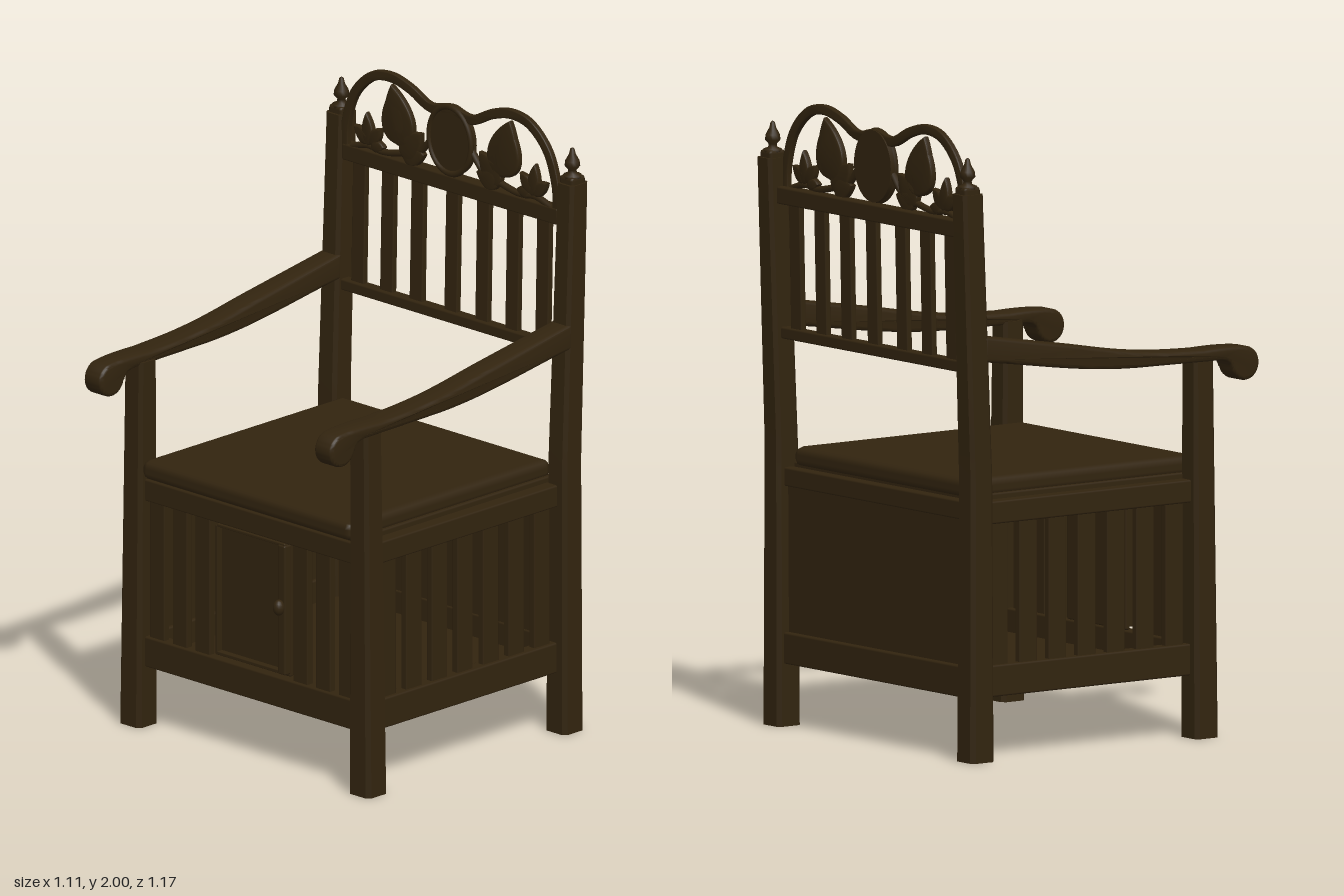
import * as THREE from 'three';
import { toCreasedNormals } from 'three/addons/utils/BufferGeometryUtils.js';
import { RoundedBoxGeometry } from 'three/addons/geometries/RoundedBoxGeometry.js';

const wood = new THREE.MeshStandardMaterial({ color: 0x32240f });
wood.name = 'darkWood';

export function createModel() {
  const chair = new THREE.Group();
  chair.name = 'armchair';

  const add = (name, geo, x = 0, y = 0, z = 0) => {
    const m = new THREE.Mesh(geo, wood);
    m.name = name;
    m.position.set(x, y, z);
    chair.add(m);
    return m;
  };
  // box given by its limits on each axis
  const box = (name, x0, x1, y0, y1, z0, z1, r = 0.006) =>
    add(name, new RoundedBoxGeometry(x1 - x0, y1 - y0, z1 - z0, 1, r),
      (x0 + x1) / 2, (y0 + y1) / 2, (z0 + z1) / 2);

  // chamfered post whose rings are placed by a rule y -> [cx, cz, width, depth]
  const post = (height, rule) => {
    const a = 0.5, c = 0.36;
    const s = new THREE.Shape([[a, -c], [a, c], [c, a], [-c, a], [-a, c], [-a, -c], [-c, -a], [c, -a]]
      .map(p => new THREE.Vector2(...p)));
    const g = new THREE.ExtrudeGeometry(s, { depth: height, steps: 24, bevelEnabled: false });
    g.rotateX(-Math.PI / 2);
    const p = g.attributes.position;
    for (let i = 0; i < p.count; i++) {
      const [cx, cz, w, d] = rule(p.getY(i));
      p.setXYZ(i, cx + p.getX(i) * w, p.getY(i), cz + p.getZ(i) * d);
    }
    return toCreasedNormals(g, 0.5);
  };
  const lean = y => -0.51 - 0.033 * THREE.MathUtils.clamp((y - 0.9) / 0.9, 0, 1);

  // arm profile, drawn in z and y, ending in a scroll
  const arm = new THREE.Shape();
  arm.moveTo(-0.5, 1.275);
  arm.bezierCurveTo(-0.3, 1.25, -0.12, 1.21, 0.1, 1.205);
  arm.lineTo(0.42, 1.2);
  arm.quadraticCurveTo(0.47, 1.2, 0.476, 1.17);
  arm.absarc(0.53, 1.18, 0.052, Math.PI * 1.06, Math.PI * 2.42, false);
  arm.quadraticCurveTo(0.48, 1.24, 0.36, 1.235);
  arm.bezierCurveTo(0.1, 1.24, 0, 1.27, -0.15, 1.295);
  arm.lineTo(-0.5, 1.353);
  const armGeo = new THREE.ExtrudeGeometry(arm, {
    depth: 0.066, curveSegments: 14, bevelSize: 0.012, bevelOffset: -0.01, bevelThickness: 0.012, bevelSegments: 3,
  });
  armGeo.translate(0, 0, -0.033).rotateY(-Math.PI / 2);
  const ap = armGeo.attributes.position;
  for (let i = 0; i < ap.count; i++) { // widest above the front leg
    const z = ap.getZ(i);
    const w = z < 0.3 ? 0.9 + (z + 0.5) * 0.2 : 1.06 - (z - 0.3) * 0.75;
    ap.setX(i, ap.getX(i) * w);
  }
  const armSmooth = toCreasedNormals(armGeo, 0.7);

  const finial = new THREE.LatheGeometry([
    [0, 0], [0.03, 0], [0.03, 0.01], [0.015, 0.016], [0.013, 0.026], [0.025, 0.04],
    [0.023, 0.056], [0.011, 0.078], [0.007, 0.095], [0, 0.1],
  ].map(p => new THREE.Vector2(...p)), 14);

  for (const s of [1, -1]) {
    const side = s > 0 ? 'left' : 'right';
    add(side + 'FrontLeg', post(1.21, y => [s * (0.505 - 0.008 * y), 0.376, 0.095 - 0.014 * y, 0.092 - 0.012 * y]));
    add(side + 'BackPost', post(1.81, y => [s * (0.505 + 0.002 * y), lean(y), 0.094 - 0.012 * y, 0.092 - 0.007 * y]));
    add(side + 'PostCap', new RoundedBoxGeometry(0.062, 0.04, 0.062, 1, 0.012), s * 0.508, 1.815, -0.543);
    add(side + 'Finial', finial, s * 0.508, 1.825, -0.543);
    add(side + 'Arm', armSmooth, s * 0.507);

    // slatted side of the box
    const x0 = s > 0 ? 0.465 : -0.515, x1 = x0 + 0.05;
    box(side + 'SideTopRail', x0, x1, 0.75, 0.822, -0.48, 0.35);
    box(side + 'SideBottomRail', x0, x1, 0.2, 0.3, -0.48, 0.35);
    for (let i = 0; i < 7; i++) {
      const z = 0.28 - i * 0.1155;
      box(side + 'SideSlat', s * 0.49 - 0.012, s * 0.49 + 0.012, 0.29, 0.76, z - 0.035, z + 0.035, 0.004);
    }
    // slats beside the door
    for (let i = 0; i < 3; i++) {
      const x = s * (0.215 + i * 0.1);
      box('frontSlat', x - 0.032, x + 0.032, 0.29, 0.76, 0.36, 0.385, 0.004);
    }
  }

  // seat and box
  box('seat', -0.462, 0.462, 0.825, 0.89, -0.5, 0.412, 0.025);
  box('seatSupport', -0.47, 0.47, 0.8, 0.84, -0.49, 0.385);
  box('frontTopRail', -0.47, 0.47, 0.75, 0.822, 0.345, 0.395);
  box('frontBottomRail', -0.47, 0.47, 0.2, 0.3, 0.345, 0.395);
  box('boxFloor', -0.49, 0.49, 0.205, 0.225, -0.5, 0.37);
  box('backPanel', -0.47, 0.47, 0.22, 0.82, -0.515, -0.495);
  box('backBottomRail', -0.47, 0.47, 0.2, 0.3, -0.535, -0.49);
  box('backTopRail', -0.47, 0.47, 0.765, 0.825, -0.53, -0.49);

  // door with raised edges and a knob
  box('doorPanel', -0.155, 0.155, 0.3, 0.75, 0.35, 0.368);
  box('doorStile', 0.122, 0.155, 0.31, 0.74, 0.36, 0.392);
  box('doorStile', -0.155, -0.145, 0.31, 0.74, 0.36, 0.388, 0.003);
  box('doorRail', -0.15, 0.15, 0.31, 0.322, 0.36, 0.388, 0.003);
  box('doorRail', -0.15, 0.15, 0.735, 0.745, 0.36, 0.388, 0.003);
  add('doorKnob', new THREE.SphereGeometry(0.02, 16, 10), 0.136, 0.535, 0.4).scale.set(0.9, 1.3, 1);

  // backrest rails and leaning slats
  box('backrestLowerRail', -0.475, 0.475, 1.235, 1.272, -0.54, -0.5);
  box('backrestUpperRail', -0.475, 0.475, 1.665, 1.72, -0.555, -0.508);
  for (const x of [-0.41, -0.283, -0.153, 0, 0.136, 0.268, 0.4]) {
    add('backrestSlat', new RoundedBoxGeometry(0.056, 0.43, 0.02, 1, 0.004), x, 1.465, -0.527).rotation.x = -0.022;
  }

  // carved crest: a scalloped band around leaves and a central disc
  const V = (x, y) => new THREE.Vector2(x, y);
  const half = [[-0.466, 1.7], [-0.462, 1.79], [-0.425, 1.895], [-0.35, 1.967], [-0.265, 1.985], [-0.18, 1.965], [-0.09, 1.925]];
  const mid = new THREE.SplineCurve([
    ...half.map(p => V(...p)), V(0, 1.94), ...half.slice().reverse().map(p => V(-p[0], p[1])),
  ]).getPoints(72);
  const offset = d => mid.map((p, i) => {
    const a = mid[Math.max(i - 1, 0)], b = mid[Math.min(i + 1, mid.length - 1)];
    const t = V(b.x - a.x, b.y - a.y).normalize();
    return V(p.x - t.y * d, p.y + t.x * d);
  });
  const carve = (shape, depth, bevel) => toCreasedNormals(new THREE.ExtrudeGeometry(shape, {
    depth, curveSegments: 12, bevelSize: bevel, bevelOffset: -bevel, bevelThickness: bevel, bevelSegments: 3,
  }).translate(0, 0, -depth / 2), 0.7);
  add('crestBand', carve(new THREE.Shape([...offset(0.016), ...offset(-0.016).reverse()]), 0.012, 0.004), 0, 0, -0.52);

  const disc = new THREE.CylinderGeometry(0.096, 0.096, 0.024, 36).rotateX(Math.PI / 2);
  add('crestDisc', disc, 0, 1.838, -0.522).scale.y = 1.2;
  const rim = add('crestDiscRim', new THREE.TorusGeometry(0.092, 0.009, 8, 40), 0, 1.838, -0.512);
  rim.scale.y = 1.2;

  // pointed leaf with its base at the origin, growing up
  const leaf = (len, w) => {
    const s = new THREE.Shape();
    s.moveTo(0, 0);
    s.bezierCurveTo(w * 0.9, len * 0.1, w * 0.7, len * 0.65, 0, len);
    s.bezierCurveTo(-w * 0.7, len * 0.65, -w * 0.9, len * 0.1, 0, 0);
    return carve(s, 0.008, 0.008);
  };
  const leaves = [ // x, y, length, half width, tilt
    ['largeLeaf', 0.205, 1.765, 0.205, 0.105, -0.28],
    ['largeLeaf', 0.245, 1.77, 0.18, 0.09, -0.05],
    ['curledLeaf', 0.215, 1.735, 0.13, 0.07, 0.75],
    ['curledLeaf', 0.21, 1.735, 0.1, 0.06, 1.3],
    ['smallLeaf', 0.36, 1.735, 0.11, 0.042, -0.1],
    ['smallLeaf', 0.36, 1.745, 0.08, 0.04, 0.75],
    ['smallLeaf', 0.36, 1.745, 0.08, 0.04, -0.95],
    ['smallLeaf', 0.35, 1.74, 0.06, 0.035, 1.5],
  ];
  const stem = new THREE.CatmullRomCurve3([[0.44, 1.715], [0.37, 1.735], [0.3, 1.728], [0.21, 1.745], [0.14, 1.765], [0.09, 1.82]]
    .map(p => new THREE.Vector3(p[0], p[1], 0)));
  for (const s of [1, -1]) {
    for (const [name, x, y, len, w, tilt] of leaves) {
      add(name, leaf(len, w), s * x, y, -0.52).rotation.z = s * tilt;
    }
    add('leafStem', new THREE.TubeGeometry(stem, 24, 0.011, 8), 0, 0, -0.52).rotation.y = s > 0 ? 0 : Math.PI;
  }

  return chair;
}
